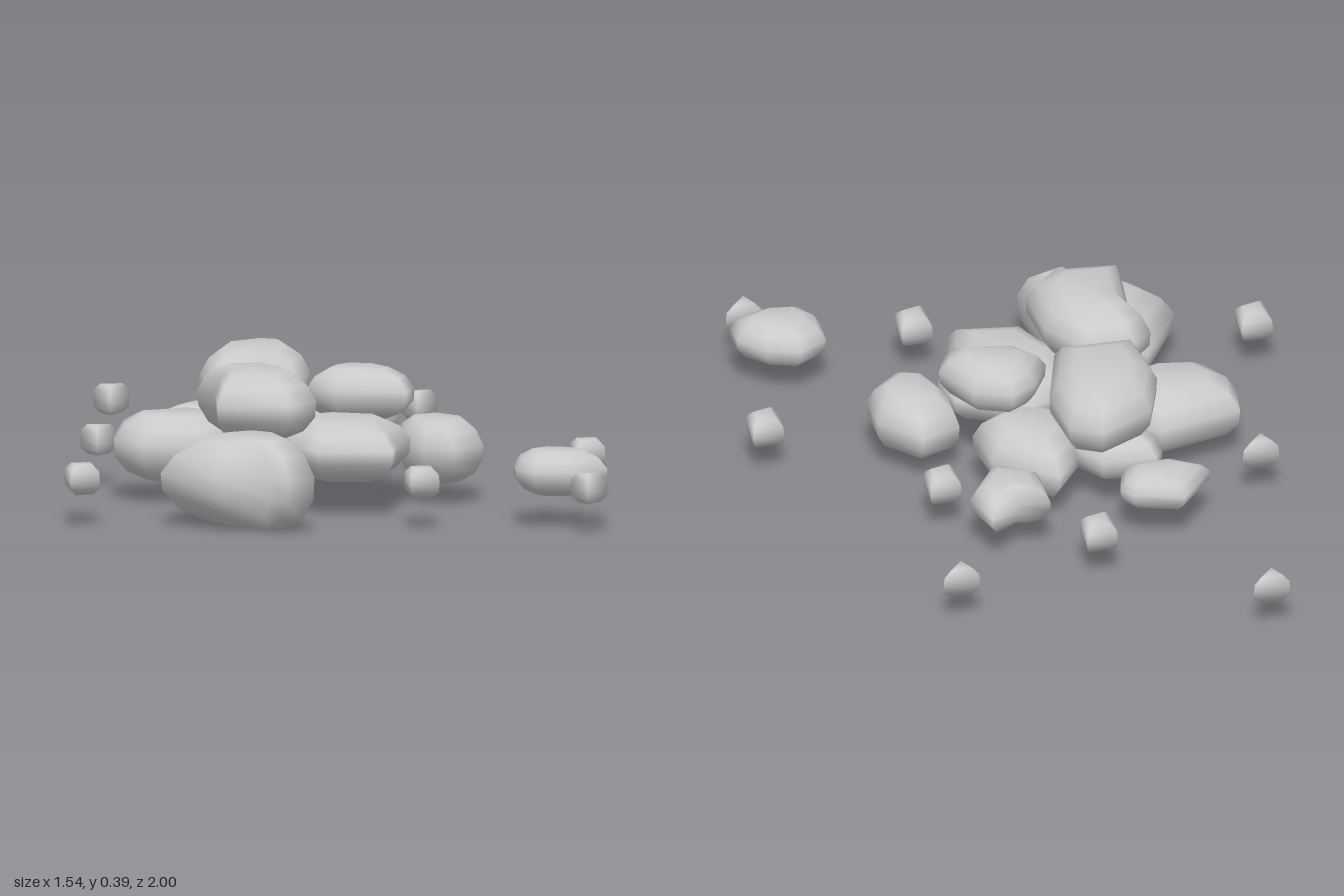
import * as THREE from 'three';

const material = new THREE.MeshStandardMaterial({ color: 0xcccccc, roughness: 0.9 });

// Height fraction and outline scale of each ring, from bottom to top
const STONE = [[0, 0.5], [0.14, 0.8], [0.36, 0.98], [0.6, 1], [0.84, 0.84], [1, 0.55]];
const PEBBLE = [[0, 0.6], [0.2, 0.95], [0.5, 1], [0.8, 0.95], [1, 0.6]];

// Smooth stone: a plan outline of [x, z] points stacked in scaled rings, closed at both ends
function stone(name, outline, y0, y1, rings = STONE, slope = 0) {
  let area = 0;
  const n = outline.length;
  outline.forEach(([x, z], i) => {
    const [u, v] = outline[(i + 1) % n];
    area += z * u - x * v;
  });
  const pts = area > 0 ? outline : [...outline].reverse();
  const cx = pts.reduce((s, p) => s + p[0], 0) / n;
  const cz = pts.reduce((s, p) => s + p[1], 0) / n;

  const pos = [], index = [];
  for (const [t, s] of rings) {
    for (const [x, z] of pts) {
      const dx = (x - cx) * s;
      pos.push(cx + dx, y0 + (y1 - y0) * t + slope * dx * (t - 0.5) * 2, cz + (z - cz) * s);
    }
  }
  const bottom = rings.length * n, top = bottom + 1, last = (rings.length - 1) * n;
  pos.push(cx, y0, cz, cx, y1, cz);
  for (let j = 0; j < n; j++) {
    const k = (j + 1) % n;
    for (let r = 0; r < last; r += n) {
      index.push(r + j, r + k, r + n + j, r + k, r + n + k, r + n + j);
    }
    index.push(bottom, k, j, top, last + j, last + k);
  }
  const geo = new THREE.BufferGeometry();
  geo.setAttribute('position', new THREE.Float32BufferAttribute(pos, 3));
  geo.setIndex(index);
  geo.computeVertexNormals();
  const mesh = new THREE.Mesh(geo, material);
  mesh.name = name;
  return mesh;
}

export function createModel() {
  const group = new THREE.Group();
  group.name = 'rockPile';
  const add = (...args) => group.add(stone(...args));

  // Lower layer
  add('largeFrontRock', [[-0.37, 0.245], [-0.535, 0.42], [-0.43, 0.6], [-0.3, 0.64],
    [-0.27, 0.705], [-0.185, 0.68], [-0.18, 0.48], [-0.25, 0.33]], 0.01, 0.25, STONE, 0.1);
  add('leftRock', [[-0.46, -0.15], [-0.22, -0.16], [-0.15, -0.05], [-0.15, 0.08],
    [-0.31, 0.13], [-0.46, 0.07], [-0.5, -0.04]], 0.06, 0.24);
  add('centreRock', [[-0.06, 0.1], [-0.15, 0.22], [-0.11, 0.35], [-0.09, 0.45], [0.1, 0.52],
    [0.15, 0.42], [0.23, 0.31], [0.23, 0.2], [0.06, 0.08]], 0.09, 0.25);
  add('innerRock', [[0.13, -0.25], [0.26, -0.1], [0.25, 0.05], [0.12, 0.1],
    [0, 0.02], [0.02, -0.15]], 0.055, 0.235);
  add('hiddenRock', [[-0.18, -0.25], [-0.14, -0.29], [0, -0.25], [0.07, -0.08],
    [-0.01, 0.02], [-0.15, -0.08]], 0.09, 0.23);
  add('rightRock', [[0.26, 0.11], [0.38, 0.09], [0.455, 0.22], [0.43, 0.34],
    [0.32, 0.405], [0.25, 0.36], [0.23, 0.22]], 0.06, 0.23);

  // Upper layer
  add('upperLeftRock', [[-0.24, 0.06], [-0.11, 0.085], [-0.055, 0.24], [-0.08, 0.41],
    [-0.18, 0.48], [-0.37, 0.42], [-0.3, 0.21], [-0.31, 0.1]], 0.21, 0.395);
  add('upperBackRock', [[0.04, -0.33], [0.11, -0.27], [0.09, -0.1], [-0.02, 0.1],
    [-0.24, 0.05], [-0.22, -0.13], [-0.13, -0.28]], 0.21, 0.395);
  add('upperRightRock', [[0.16, -0.02], [0.25, 0.04], [0.29, 0.18], [0.24, 0.25],
    [0.06, 0.18], [0.01, 0.09], [0.08, 0.01]], 0.22, 0.36);

  // Loose stones around the pile
  add('backRightStone', [[0.21, -0.36], [0.29, -0.33], [0.39, -0.37], [0.4, -0.25],
    [0.29, -0.14], [0.18, -0.23]], 0.09, 0.21);
  add('backStone', [[-0.13, -0.49], [-0.01, -0.42], [0.01, -0.38], [-0.03, -0.3],
    [-0.18, -0.31], [-0.255, -0.39]], 0.1, 0.2);
  add('frontRightStone', [[0.48, 0.65], [0.56, 0.7], [0.61, 0.78], [0.6, 0.85],
    [0.49, 0.875], [0.39, 0.84], [0.365, 0.77], [0.39, 0.68]], 0.09, 0.21);

  // Scattered pebbles, in two repeated shapes
  const kite = [[-0.03, -0.055], [0.055, -0.04], [0.035, 0.05], [-0.05, 0.055]];
  const wedge = [[-0.045, -0.035], [0.055, -0.015], [-0.025, 0.045]];
  const scatter = (shape, places) => places.forEach(([x, z]) =>
    add('pebble', shape.map(([u, v]) => [x + u, z + v]), 0.09, 0.17, PEBBLE));
  scatter(kite, [[-0.725, 0.315], [0.135, -0.51], [0.41, -0.1], [0.715, 0.38], [0.12, 0.69]]);
  scatter(wedge, [[-0.16, -0.965], [0.585, -0.57], [-0.44, -0.31], [0.515, 0.95]]);

  return group;
}
